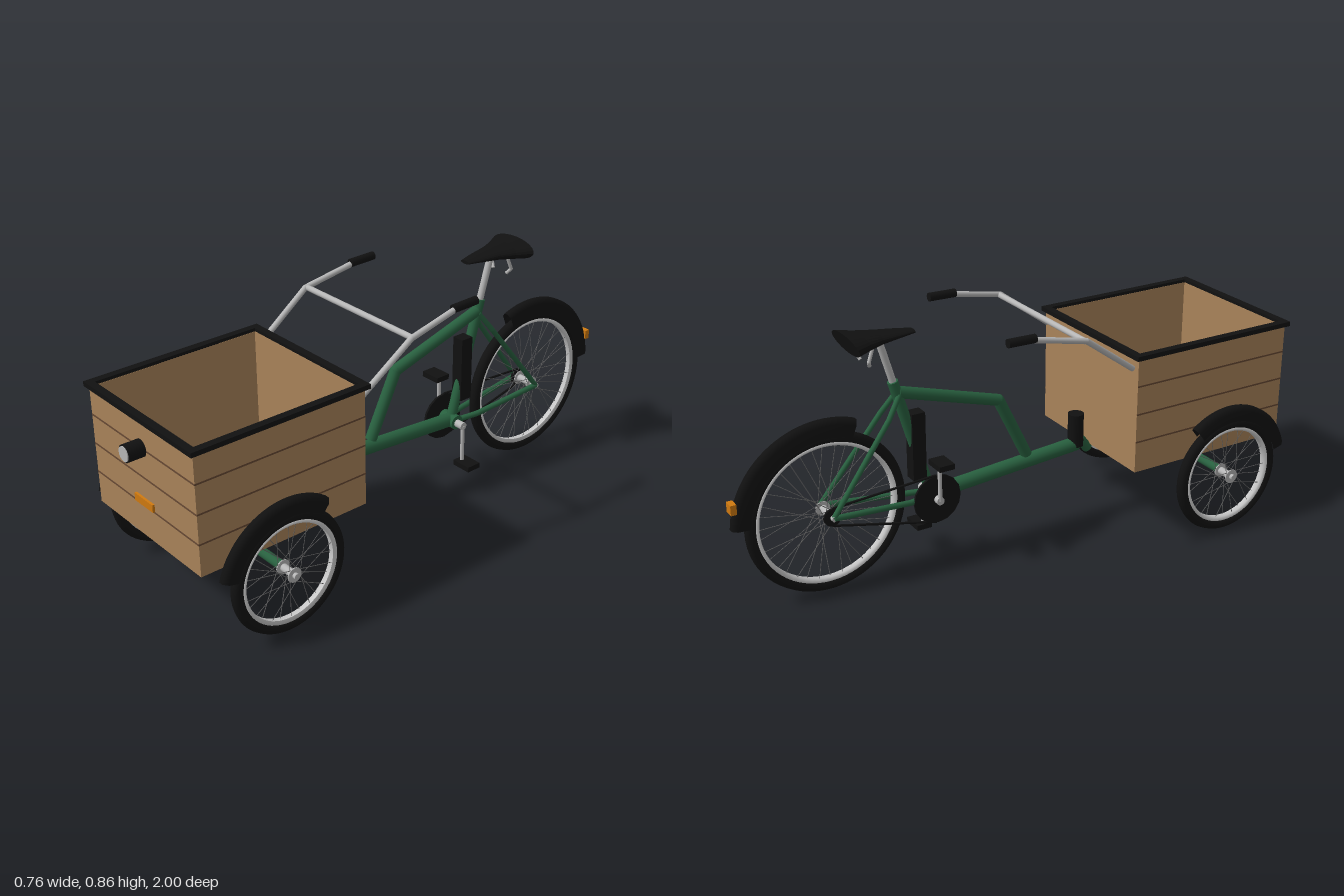
import * as THREE from 'three';
import { mergeGeometries } from 'three/addons/utils/BufferGeometryUtils.js';

const material = (name, color, side = THREE.FrontSide) => {
  const m = new THREE.MeshStandardMaterial({ color, side });
  m.name = name;
  return m;
};
const V = (x, y, z) => new THREE.Vector3(x, y, z);

// Cylinder running from a to b
function rodGeometry(a, b, r, sides = 16) {
  const dir = b.clone().sub(a);
  const g = new THREE.CylinderGeometry(r, r, dir.length(), sides);
  g.applyQuaternion(new THREE.Quaternion().setFromUnitVectors(V(0, 1, 0), dir.normalize()));
  const mid = a.clone().add(b).multiplyScalar(0.5);
  return g.translate(mid.x, mid.y, mid.z);
}

export function createModel() {
  const wood = material('wood', 0xa9835a);
  const groove = material('plank groove', 0x684a34);
  const green = material('green paint', 0x28603f);
  const silver = material('silver metal', 0xb6b6b6);
  const rimMetal = material('rim metal', 0xcacaca);
  const black = material('black', 0x111111, THREE.DoubleSide);
  const spokeMetal = material('spoke metal', 0x666666);
  const orange = material('orange reflector', 0xd07a10);

  const model = new THREE.Group();
  model.name = 'cargoTricycle';

  const add = (name, geometry, mat, parent = model) => {
    const m = new THREE.Mesh(geometry, mat);
    m.name = name;
    parent.add(m);
    return m;
  };
  const rod = (name, a, b, r, mat, parent) => add(name, rodGeometry(a, b, r), mat, parent);
  const box = (name, w, h, d, x, y, z, mat) =>
    add(name, new THREE.BoxGeometry(w, h, d).translate(x, y, z), mat);
  // Pipe along straight pieces with round joints
  const pipe = (name, pts, r, mat) => {
    const parts = [];
    pts.forEach((p, i) => {
      if (i) parts.push(rodGeometry(pts[i - 1], p, r));
      if (i && i < pts.length - 1) parts.push(new THREE.SphereGeometry(r, 16, 10).translate(p.x, p.y, p.z));
    });
    return add(name, mergeGeometries(parts), mat);
  };
  // Lathe turned about the x axis; the angle runs from +z upwards
  const ring = (points, segments, start = 0, length = Math.PI * 2) =>
    new THREE.LatheGeometry(points.map(([r, x]) => new THREE.Vector2(r, x)), segments, start, length)
      .rotateZ(Math.PI / 2);
  // Rectangular frame lying flat
  const frame = (w, d, t, h) => {
    const rect = (S, a, b) => new S().moveTo(-a, -b).lineTo(a, -b).lineTo(a, b).lineTo(-a, b).closePath();
    const s = rect(THREE.Shape, w / 2, d / 2);
    s.holes.push(rect(THREE.Path, w / 2 - t, d / 2 - t));
    return new THREE.ExtrudeGeometry(s, { depth: h, bevelEnabled: false }).rotateX(-Math.PI / 2);
  };

  // Crate
  const crateZ = 0.63;
  add('crateWalls', frame(0.556, 0.62, 0.015, 0.41).translate(0, 0.28, crateZ), wood);
  box('crateFloor', 0.55, 0.015, 0.614, 0, 0.288, crateZ, wood);
  add('crateRim', frame(0.58, 0.645, 0.026, 0.016).translate(0, 0.685, crateZ), black);
  for (const y of [0.39, 0.49, 0.59]) {
    box('frontPlankGroove', 0.556, 0.006, 0.002, 0, y, 0.94, groove);
    for (const s of [-1, 1]) box('sidePlankGroove', 0.002, 0.006, 0.62, s * 0.278, y, crateZ, groove);
  }
  rod('headlampBody', V(0, 0.591, 0.94), V(0, 0.591, 0.997), 0.029, black);
  rod('headlampLens', V(0, 0.591, 0.99), V(0, 0.591, 1.0), 0.025, silver);
  box('frontReflector', 0.098, 0.026, 0.008, 0, 0.406, 0.944, orange);

  // Wheels with tyre, rim, spokes and hub
  function wheel(name, x, y, z, radius, flange, spokes) {
    const g = new THREE.Group();
    g.name = name;
    g.position.set(x, y, z);
    model.add(g);
    const t = 0.0195;
    add('tyre', new THREE.TorusGeometry(radius - t, t, 10, 64).rotateY(Math.PI / 2), black, g);
    const o = radius - 0.03, i = radius - 0.046;
    add('rim', ring([[i, -0.009], [o, -0.014], [o, 0.014], [i, 0.009], [i, -0.009]], 64), rimMetal, g);
    const wires = [];
    for (let k = 0; k < spokes; k++) {
      const a = (k / spokes) * Math.PI * 2, side = k % 2 ? 1 : -1;
      const b = a + (k % 4 < 2 ? 0.9 : -0.9);
      wires.push(rodGeometry(
        V(side * flange, 0.022 * Math.sin(b), 0.022 * Math.cos(b)),
        V(side * 0.004, i * Math.sin(a), i * Math.cos(a)), 0.0012, 4));
    }
    add('spokes', mergeGeometries(wires), spokeMetal, g);
    rod('hub', V(-flange, 0, 0), V(flange, 0, 0), 0.013, silver, g);
    for (const s of [-1, 1]) {
      rod('hubFlange', V(s * (flange - 0.002), 0, 0), V(s * (flange + 0.002), 0, 0), 0.025, silver, g);
    }
    return g;
  }
  // Mudguard: open channel over the tyre
  function mudguard(parent, inner, outer, from, to) {
    const w = 0.0205, e = outer - 0.016, rad = THREE.MathUtils.degToRad;
    add('mudguard', ring([[inner, -w], [e, -w], [outer, -0.008], [outer, 0.008], [e, w], [inner, w]],
      28, rad(from), rad(to - from)), black, parent);
  }

  for (const s of [-1, 1]) {
    const w = wheel(s > 0 ? 'leftFrontWheel' : 'rightFrontWheel', s * 0.336, 0.212, 0.67, 0.208, 0.028, 28);
    mudguard(w, 0.2, 0.251, 15, 127);
    rod('axleEnd', V(-0.036, 0, 0), V(0.042, 0, 0).multiplyScalar(1), 0.01, silver, w).scale.x = s;
    rod('crateSupport', V(s * 0.168, 0.213, 0.67), V(s * 0.168, 0.282, 0.67), 0.012, green);
  }
  rod('frontAxle', V(-0.303, 0.213, 0.67), V(0.303, 0.213, 0.67), 0.016, green);

  const rear = wheel('rearWheel', 0, 0.28, -0.68, 0.277, 0.03, 36);
  mudguard(rear, 0.262, 0.32, 69, 176);
  rod('rearAxle', V(-0.06, 0, 0), V(0.06, 0, 0), 0.009, silver, rear);
  box('rearReflector', 0.036, 0.034, 0.02, 0, 0.378, -0.99, orange);

  // Frame
  const bracket = V(0, 0.248, -0.305);
  rod('lowerTube', V(0, 0.29, 0.27), bracket, 0.025, green);
  rod('steeringJoint', V(0, 0.305, 0.285), V(0, 0.262, 0.318), 0.018, green);
  rod('steeringHead', V(0, 0.285, 0.267), V(0, 0.405, 0.267), 0.028, black);
  pipe('upperTube', [V(0, 0.3, 0.065), V(0, 0.525, -0.045), V(0, 0.635, -0.415)], 0.02, green);
  rod('seatTube', bracket, V(0, 0.675, -0.432), 0.018, green);
  rod('bottomBracketShell', V(-0.034, 0.248, -0.305), V(0.034, 0.248, -0.305), 0.026, green);
  for (const s of [-1, 1]) {
    pipe('seatStay', [V(s * 0.012, 0.63, -0.415), V(s * 0.032, 0.56, -0.465), V(s * 0.053, 0.28, -0.68)], 0.009, green);
    pipe('chainStay', [V(s * 0.02, 0.25, -0.31), V(s * 0.036, 0.253, -0.4), V(s * 0.053, 0.28, -0.68)], 0.01, green);
  }
  box('battery', 0.045, 0.235, 0.048, 0, 0.437, -0.355, black);

  // Drivetrain
  const cx = -0.042;
  rod('chainring', V(cx - 0.004, 0.246, -0.305), V(cx + 0.004, 0.246, -0.305), 0.086, black);
  rod('rearSprocket', V(cx - 0.004, 0.28, -0.68), V(cx + 0.004, 0.28, -0.68), 0.03, black);
  rod('upperChain', V(cx, 0.332, -0.31), V(cx, 0.31, -0.68), 0.004, black);
  rod('lowerChain', V(cx, 0.161, -0.31), V(cx, 0.25, -0.68), 0.004, black);
  rod('crankAxle', V(-0.067, 0.246, -0.305), V(0.067, 0.246, -0.305), 0.014, silver);
  for (const s of [-1, 1]) {
    const y = 0.246 - s * 0.144;
    rod('crank', V(s * 0.063, 0.246, -0.305), V(s * 0.063, y, -0.305), 0.007, silver);
    box('pedal', 0.076, 0.019, 0.055, s * 0.084, y, -0.308, black);
  }

  // Handlebar
  for (const s of [-1, 1]) {
    pipe('handlebarArm', [V(s * 0.256, 0.65, 0.312), V(s * 0.264, 0.786, 0.122),
      V(s * 0.253, 0.826, -0.08)], 0.01, silver);
    rod('grip', V(s * 0.253, 0.828, -0.062), V(s * 0.253, 0.83, -0.162), 0.0145, black);
  }
  rod('handlebarCrossbar', V(-0.264, 0.786, 0.117), V(0.264, 0.786, 0.117), 0.01, silver);

  // Seat post and saddle, lofted from elliptical sections [z, halfWidth, halfHeight, centreY]
  rod('seatPost', V(0, 0.66, -0.427), V(0, 0.825, -0.476), 0.012, silver);
  const sections = [[-0.355, 0.02, 0.006, 0.831], [-0.4, 0.032, 0.011, 0.832], [-0.48, 0.048, 0.02, 0.832],
    [-0.53, 0.068, 0.026, 0.832], [-0.585, 0.098, 0.033, 0.832]];
  const n = 24, pos = [], idx = [];
  for (const [z, w, h, y] of sections) {
    for (let k = 0; k < n; k++) {
      const a = (k / n) * Math.PI * 2;
      pos.push(w * Math.cos(a), y + h * Math.sin(a), z - (z < -0.5 ? 0.01 * Math.sin(a) : 0));
    }
  }
  for (let j = 0; j < sections.length - 1; j++) {
    for (let k = 0; k < n; k++) {
      const a = j * n + k, b = j * n + (k + 1) % n;
      idx.push(a, b, a + n, b, b + n, a + n);
    }
  }
  const last = (sections.length - 1) * n;
  for (let k = 1; k < n - 1; k++) idx.push(0, k + 1, k, last, last + k, last + k + 1);
  const saddle = new THREE.BufferGeometry();
  saddle.setAttribute('position', new THREE.Float32BufferAttribute(pos, 3));
  saddle.setIndex(idx);
  const saddleFaces = saddle.toNonIndexed();
  saddleFaces.computeVertexNormals();
  add('saddle', saddleFaces, black);
  for (const s of [-1, 1]) {
    pipe('saddleHook', [V(s * 0.042, 0.82, -0.515), V(s * 0.046, 0.775, -0.532), V(s * 0.032, 0.757, -0.524)], 0.006, silver);
  }
  return model;
}
